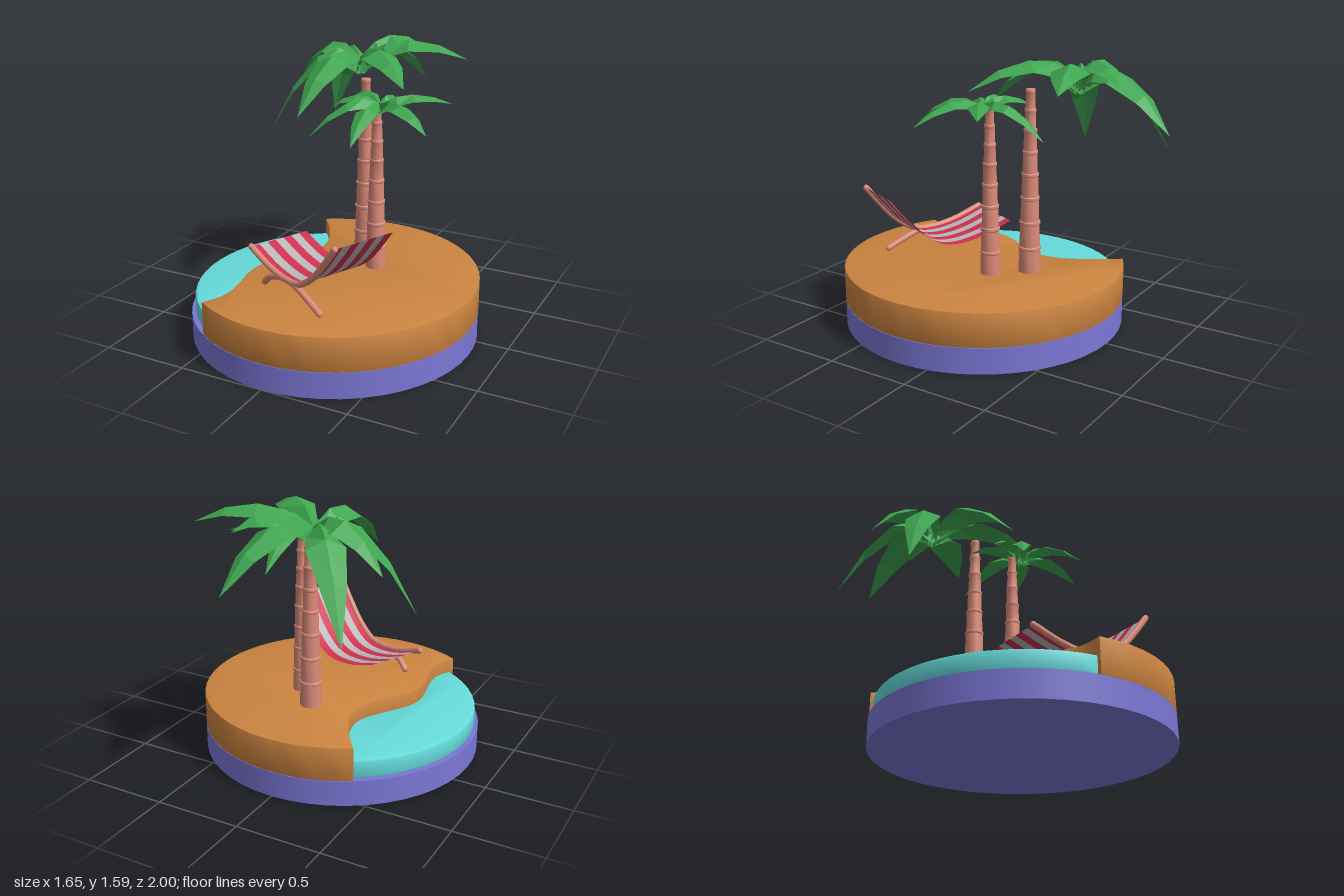
import * as THREE from 'three';
import { toCreasedNormals } from 'three/addons/utils/BufferGeometryUtils.js';

const mat = (color, extra = {}) => new THREE.MeshStandardMaterial({ color, ...extra });
const COLORS = {
  base: mat(0x7b77d6), sand: mat(0xcb8440), water: mat(0x66dcdc), wood: mat(0xdc8b7a),
  leaf: mat(0x3fa650, { flatShading: true, side: THREE.DoubleSide }),
  red: mat(0xd0304f, { side: THREE.DoubleSide }), pale: mat(0xb8b8b8, { side: THREE.DoubleSide }),
};
const CENTRE_Z = 0.1725, RADIUS = 0.827;

function add(parent, name, geometry, material) {
  const mesh = new THREE.Mesh(geometry, material);
  mesh.name = name;
  parent.add(mesh);
  return mesh;
}

// Shoreline from the back rim to the front rim, as x and z
const SHORE = [[-0.44, -0.53], [-0.33, -0.37], [-0.25, -0.2], [-0.24, -0.05], [-0.31, 0.09],
  [-0.41, 0.26], [-0.43, 0.4], [-0.385, 0.64], [-0.39, 0.76], [-0.44, 0.872]];

function shorePoints(shift) {
  return new THREE.SplineCurve(SHORE.map(([x, z]) => new THREE.Vector2(x + shift, CENTRE_Z - z))).getPoints(40);
}

function arcPoints(radius, from, to, steps) {
  return Array.from({ length: steps + 1 }, (_, i) => {
    const a = from + (to - from) * i / steps;
    return new THREE.Vector2(Math.cos(a) * radius, Math.sin(a) * radius);
  });
}

// Upright slab with a slightly rounded rim
function slab(points, bottom, top, bevel) {
  const g = new THREE.ExtrudeGeometry(new THREE.Shape(points), {
    depth: top - bottom - 2 * bevel, bevelEnabled: true, bevelThickness: bevel,
    bevelSize: bevel, bevelOffset: -bevel, bevelSegments: 2,
  });
  g.rotateX(-Math.PI / 2).translate(0, bottom + bevel, CENTRE_Z);
  return toCreasedNormals(g, 0.6);
}

function buildIsland(root) {
  const base = new THREE.CylinderGeometry(RADIUS, RADIUS, 0.15, 48);
  add(root, 'base', base.translate(0, 0.075, CENTRE_Z), COLORS.base);
  const back = Math.atan2(0.7, -0.44), front = Math.atan2(-0.7, -0.44);
  const sand = [...arcPoints(RADIUS, front, back, 36), ...shorePoints(0).slice(1, -1)];
  add(root, 'sand', slab(sand, 0.15, 0.35, 0.006), COLORS.sand);
  const water = [...arcPoints(0.803, back, front + Math.PI * 2, 18), ...shorePoints(0.03).reverse().slice(1, -1)];
  add(root, 'water', slab(water, 0.15, 0.262, 0.014), COLORS.water);
}

// Trunk of stacked, upward flaring segments
function buildTrunk(root, x, z, top, r0, r1, count) {
  const bottom = 0.345, pts = [new THREE.Vector2(0, bottom)];
  const level = t => bottom + (top - bottom) * (t * 1.22 - 0.22 * t * t);
  for (let i = 0; i < count; i++) {
    const y0 = level(i / count), y1 = level((i + 1) / count);
    const r = r0 + (r1 - r0) * i / (count - 1);
    const lip = Math.min(0.022, (y1 - y0) * 0.3);
    pts.push(new THREE.Vector2(r * 0.98, y0), new THREE.Vector2(r * 0.93, y1 - lip),
      new THREE.Vector2(r, y1 - lip * 0.8), new THREE.Vector2(r, y1 - lip * 0.2), new THREE.Vector2(r * 0.92, y1));
  }
  pts.push(new THREE.Vector2(0, top));
  const g = toCreasedNormals(new THREE.LatheGeometry(pts, 16), 0.6);
  add(root, 'trunk', g, COLORS.wood).position.set(x, 0, z);
}

// Folded leaf: ridge along an arched curve, edges hanging below it
function leafGeometry(start, tip, arch, scale) {
  const control = start.clone().lerp(tip, 0.45).setY(arch);
  const curve = new THREE.QuadraticBezierCurve3(start, control, tip);
  const side = new THREE.Vector3(start.z - tip.z, 0, tip.x - start.x).normalize();
  const stations = [[0, 0.025, 0.1], [0.25, 0.07, 0.075], [0.48, 0.105, 0.05], [0.75, 0.068, 0.03], [1, 0, 0]];
  const pos = [], index = [];
  stations.forEach(([t, width, drop], i) => {
    const p = curve.getPoint(t);
    for (const s of [-1, 0, 1]) {
      const q = p.clone().addScaledVector(side, s * width * scale);
      pos.push(q.x, q.y - Math.abs(s) * drop * scale, q.z);
    }
    if (i === 0) return;
    for (const j of [0, 1]) {
      const a = (i - 1) * 3 + j, b = a + 3;
      index.push(a, a + 1, b, a + 1, b + 1, b);
    }
  });
  const g = new THREE.BufferGeometry();
  g.setAttribute('position', new THREE.Float32BufferAttribute(pos, 3));
  g.setIndex(index);
  g.computeVertexNormals();
  return g;
}

function buildCrown(root, name, centre, arch, scale, tips) {
  const crown = new THREE.Group();
  crown.name = name;
  const start = new THREE.Vector3(...centre);
  for (const tip of tips) {
    add(crown, 'leaf', leafGeometry(start, new THREE.Vector3(...tip), arch, scale), COLORS.leaf);
  }
  root.add(crown);
}

function tube(parent, name, points, radius) {
  const curve = new THREE.CatmullRomCurve3(points.map(p => new THREE.Vector3(...p)));
  add(parent, name, new THREE.TubeGeometry(curve, 28, radius, 10), COLORS.wood);
  for (const t of [0, 1]) {
    const end = add(parent, name + 'End', new THREE.SphereGeometry(radius, 10, 8), COLORS.wood);
    end.position.copy(curve.getPoint(t));
  }
}

// Deck chair: striped sling, one side rail and its curved legs
function buildChair(root) {
  const chair = new THREE.Group();
  chair.name = 'deckChair';
  const profile = [[-0.385, 0.535], [-0.2, 0.475], [-0.03, 0.453], [0.08, 0.47], [0.2, 0.55], [0.3, 0.66], [0.387, 0.77]];
  const curve = new THREE.CatmullRomCurve3(profile.map(([x, y]) => new THREE.Vector3(x, y, 0)));
  const stripes = 7, width = 0.38;
  for (let i = 0; i < stripes; i++) {
    const g = new THREE.PlaneGeometry(1, 1, 20, 1), p = g.attributes.position;
    for (let k = 0; k < p.count; k++) {
      const c = curve.getPoint(p.getX(k) + 0.5);
      p.setXYZ(k, c.x, c.y, width * ((i + 0.5 - p.getY(k)) / stripes - 0.5));
    }
    g.computeVertexNormals();
    add(chair, 'slingStripe', g, i % 2 ? COLORS.pale : COLORS.red);
  }
  const z = width / 2;
  tube(chair, 'sideRail', profile.map(([x, y]) => [x, y, z]), 0.018);
  tube(chair, 'legs', [[-0.255, 0.367, z], [-0.2, 0.415, z], [-0.1, 0.45, z], [0.03, 0.45, z], [0.15, 0.41, z], [0.255, 0.367, z]], 0.018);
  chair.position.set(0.055, 0, 0.46);
  chair.rotation.y = -0.434;
  root.add(chair);
}

export function createModel() {
  const root = new THREE.Group();
  root.name = 'beachIsland';
  buildIsland(root);
  buildTrunk(root, 0.028, -0.16, 1.41, 0.066, 0.028, 8);
  buildTrunk(root, 0.18, 0.01, 1.32, 0.06, 0.026, 8);
  buildCrown(root, 'largeCrown', [-0.12, 1.48, -0.38], 1.7, 1, [
    [0.05, 1.25, -1], [-0.5, 1.01, -0.78], [0.14, 1.5, -0.75], [0.48, 1.48, -0.59],
    [-0.57, 1.3, -0.48], [-0.62, 1.01, -0.16], [-0.19, 1.25, 0.25], [0.35, 1.42, 0.04]]);
  buildCrown(root, 'smallCrown', [0.21, 1.33, 0.05], 1.43, 0.58, [
    [0.2, 1.16, -0.35], [0.555, 1.32, -0.165], [0.57, 1.24, 0.24], [0.24, 1.19, 0.46],
    [-0.115, 1.15, 0.27], [-0.095, 1.27, 0.055], [-0.03, 1.3, -0.15]]);
  buildChair(root);
  return root;
}
